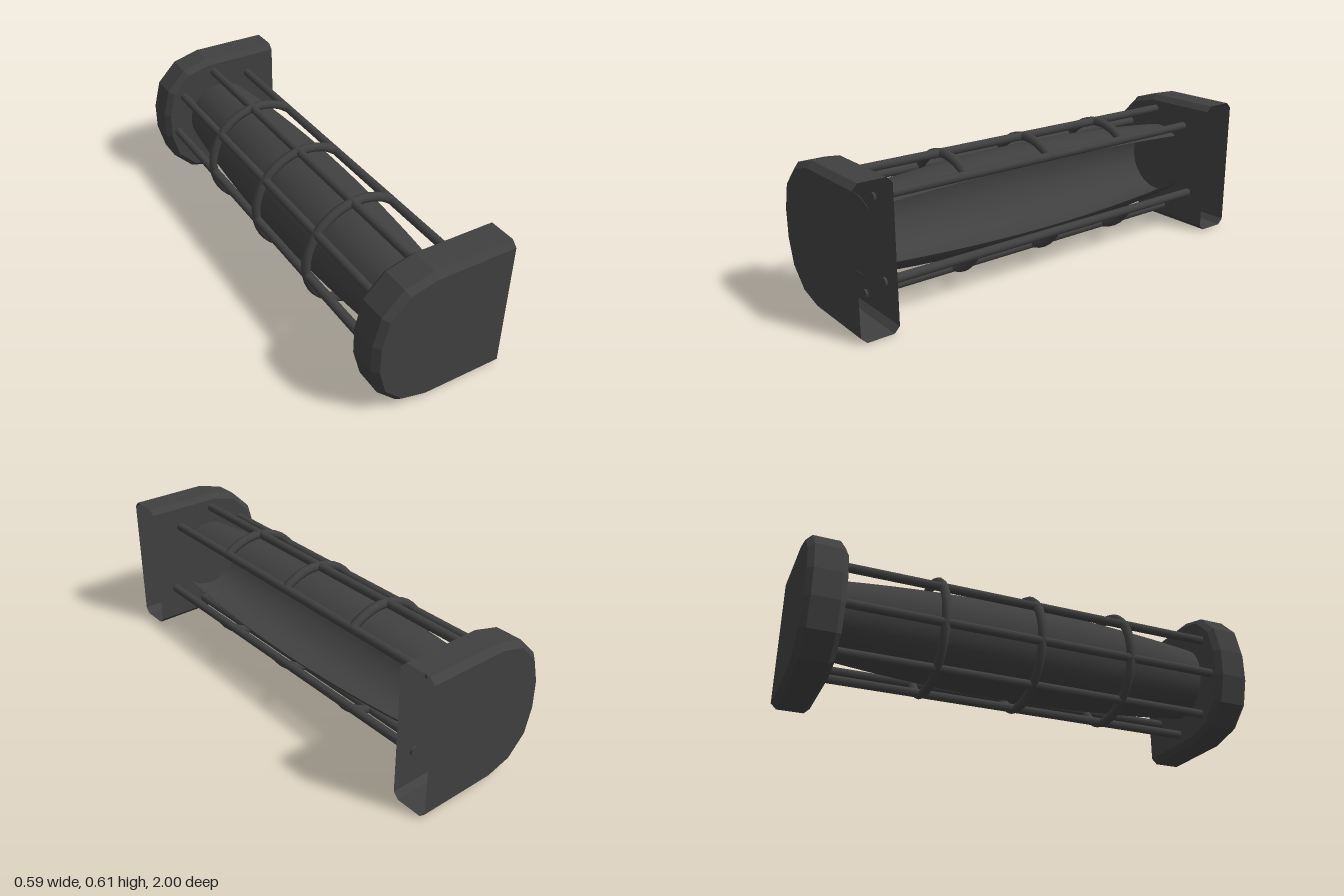
import * as THREE from 'three';

const CY = 0.305;                       // height of the lamp axis
const START = THREE.MathUtils.degToRad(51), SWEEP = THREE.MathUtils.degToRad(276);
const RODS = 7, CAGE_R = 0.243;
const CAP_IN = 0.838, CAP_OUT = 1, BEVEL = 0.024;

// D-shaped outline, open towards +x, shrunk by an inset
function capOutline(inset) {
  const pts = [[0.295, 2 * CY - inset]], r = 0.245 - inset;
  for (const side of [1, -1]) {
    for (let i = 0; i <= 3; i++) {
      const a = (side > 0 ? 90 + i * 30 : 180 + i * 30) * Math.PI / 180;
      pts.push([-0.053 + r * Math.cos(a), CY + side * 0.06 + r * Math.sin(a)]);
    }
  }
  pts.push([0.295, inset]);
  return pts;
}

// Hollow rim with chamfers on both edges, built from four cross-sections
function rimGeometry() {
  const loops = [[CAP_IN, BEVEL], [CAP_IN + BEVEL, 0], [CAP_OUT - BEVEL, 0], [CAP_OUT, BEVEL]]
    .map(([z, inset]) => capOutline(inset).map(([x, y]) => [x, y, z]));
  const pos = [];
  for (let k = 0; k < loops.length - 1; k++) {
    for (let i = 0; i < loops[k].length - 1; i++) {
      const a = loops[k][i], b = loops[k][i + 1], c = loops[k + 1][i + 1], d = loops[k + 1][i];
      pos.push(...a, ...b, ...c, ...a, ...c, ...d);
    }
  }
  const g = new THREE.BufferGeometry();
  g.setAttribute('position', new THREE.Float32BufferAttribute(pos, 3));
  g.computeVertexNormals();
  return g;
}

export function createModel() {
  const model = new THREE.Group();
  model.name = 'cagedLamp';
  const color = 0x404040;
  const metal = new THREE.MeshStandardMaterial({ color });
  const sheet = new THREE.MeshStandardMaterial({ color, side: THREE.DoubleSide });
  const flat = new THREE.MeshStandardMaterial({ color, side: THREE.DoubleSide, flatShading: true });
  const add = (parent, name, geometry, material) => {
    const m = new THREE.Mesh(geometry, material);
    m.name = name;
    parent.add(m);
    return m;
  };

  // End caps: chamfered shells with two face plates, open on the wall side
  const plate = new THREE.ShapeGeometry(
    new THREE.Shape(capOutline(BEVEL).map(([x, y]) => new THREE.Vector2(x, y))));
  for (const end of [1, -1]) {
    const cap = new THREE.Group();
    cap.name = end > 0 ? 'frontCap' : 'backCap';
    add(cap, 'capRim', rimGeometry(), flat);
    add(cap, 'capInnerPlate', plate, flat).position.z = CAP_IN;
    add(cap, 'capOuterPlate', plate, flat).position.z = CAP_OUT;
    cap.scale.z = end;
    model.add(cap);
  }

  // Barrel-shaped shade, open along the wall side
  const profile = [];
  for (let i = 0; i <= 16; i++) {
    const t = i / 8 - 1;
    profile.push(new THREE.Vector2(0.21 - 0.045 * t * t, t * (CAP_IN + 0.002)));
  }
  const shade = new THREE.LatheGeometry(profile, 36, START + Math.PI / 2, SWEEP);
  shade.rotateX(Math.PI / 2);
  add(model, 'shade', shade, sheet).position.y = CY;

  // Cage: long rods spaced around the shade
  const cage = new THREE.Group();
  cage.name = 'cage';
  cage.position.y = CY;
  model.add(cage);
  const rod = new THREE.CylinderGeometry(0.019, 0.019, 2 * CAP_IN + 0.02, 10);
  rod.rotateX(Math.PI / 2);
  for (let i = 0; i < RODS; i++) {
    const a = START + SWEEP * i / (RODS - 1);
    add(cage, 'cageRod', rod, metal).position.set(CAGE_R * Math.cos(a), CAGE_R * Math.sin(a), 0);
  }

  // Cage: three partial hoops, with closed ends
  const hoop = new THREE.TorusGeometry(CAGE_R, 0.02, 8, 30, SWEEP);
  const hoopEnd = new THREE.CircleGeometry(0.02, 8);
  hoopEnd.rotateX(Math.PI / 2);
  hoopEnd.translate(CAGE_R, 0, 0);
  for (const z of [-0.425, 0, 0.425]) {
    const ring = add(cage, 'cageHoop', hoop, metal);
    ring.position.z = z;
    ring.rotation.z = START;
    add(ring, 'hoopEnd', hoopEnd, sheet);
    add(ring, 'hoopEnd', hoopEnd, sheet).rotation.z = SWEEP;
  }
  return model;
}
